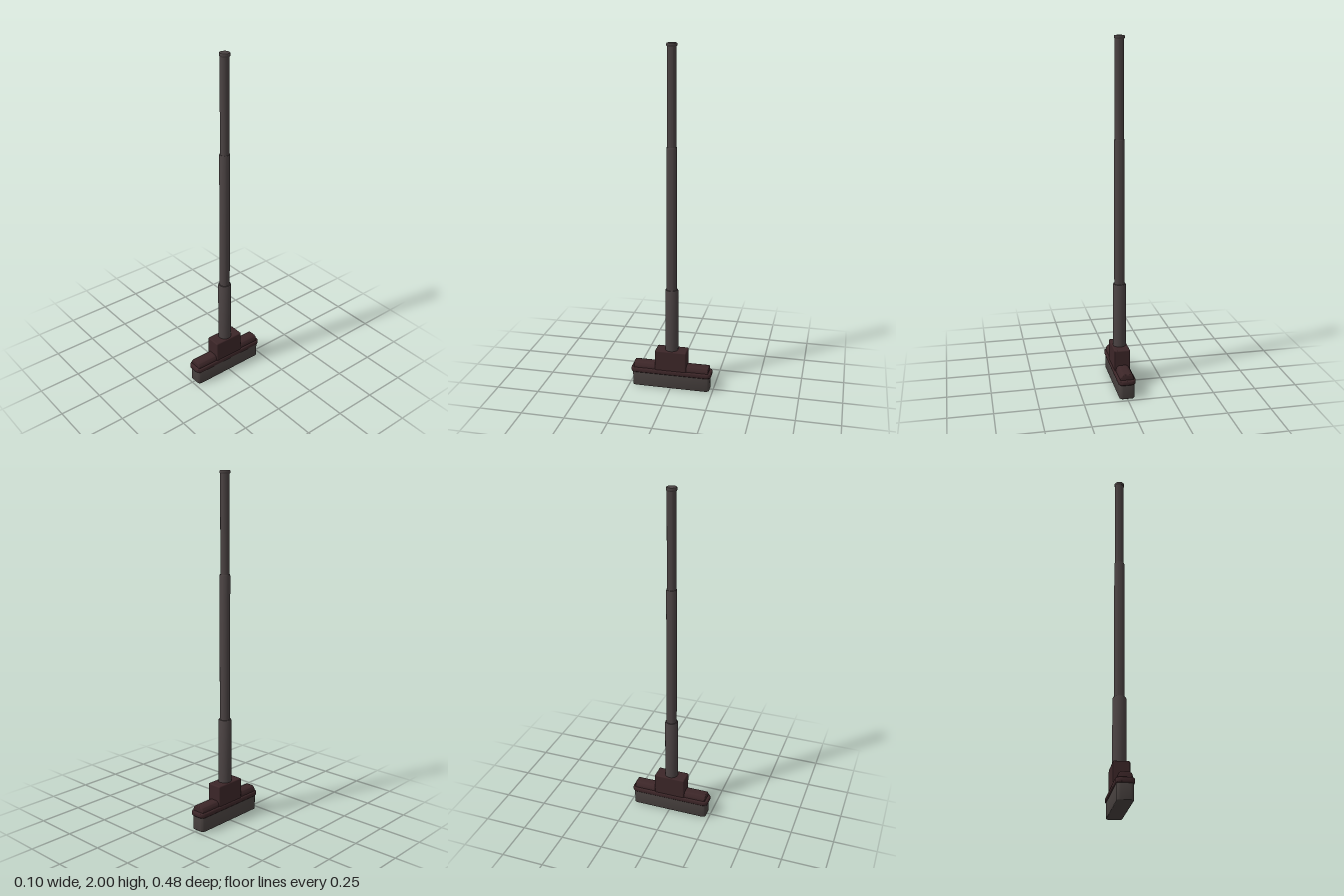
import * as THREE from 'three';
import { toCreasedNormals } from 'three/addons/utils/BufferGeometryUtils.js';
import { RoundedBoxGeometry } from 'three/addons/geometries/RoundedBoxGeometry.js';

const mat = (name, color) => Object.assign(new THREE.MeshStandardMaterial({ color }), { name });

// Rectangle with cut, slightly rounded corners, extruded upwards from y0 to y1
function slab(halfX, halfZ, corner, y0, y1, bevel) {
  const x = halfX - bevel, z = halfZ - bevel, c = corner;
  const s = new THREE.Shape();
  s.moveTo(x - c, -z);
  s.quadraticCurveTo(x - c * 0.2, -z, x, -z + c);
  s.lineTo(x, z - c);
  s.quadraticCurveTo(x - c * 0.2, z, x - c, z);
  s.lineTo(-x + c, z);
  s.quadraticCurveTo(-x + c * 0.2, z, -x, z - c);
  s.lineTo(-x, -z + c);
  s.quadraticCurveTo(-x + c * 0.2, -z, -x + c, -z);
  const g = new THREE.ExtrudeGeometry(s, {
    depth: y1 - y0 - 2 * bevel, curveSegments: 4, bevelEnabled: bevel > 0,
    bevelSize: bevel, bevelThickness: bevel, bevelSegments: 3,
  });
  g.rotateX(-Math.PI / 2).translate(0, y0 + bevel, 0);
  return toCreasedNormals(g, 0.6);
}

// Domed bar running along z
function ridge(halfX, halfZ, y0, y1, bevel) {
  const w = halfX - bevel, h = y1 - y0 - bevel;
  const s = new THREE.Shape();
  s.moveTo(-w, 0);
  s.lineTo(w, 0);
  s.lineTo(w, h * 0.35);
  s.bezierCurveTo(w * 0.95, h * 0.8, w * 0.75, h, w * 0.4, h);
  s.lineTo(-w * 0.4, h);
  s.bezierCurveTo(-w * 0.75, h, -w * 0.95, h * 0.8, -w, h * 0.35);
  s.closePath();
  const len = 2 * (halfZ - bevel);
  const g = new THREE.ExtrudeGeometry(s, {
    depth: len, curveSegments: 6, bevelSize: bevel, bevelThickness: bevel, bevelSegments: 3,
  });
  g.translate(0, y0, -len / 2);
  return toCreasedNormals(g, 0.6);
}

// Solid of revolution from [radius, height] pairs
function turned(points) {
  const g = new THREE.LatheGeometry(points.map(([r, y]) => new THREE.Vector2(r, y)), 20);
  return toCreasedNormals(g, 0.6);
}

export function createModel() {
  const group = new THREE.Group();
  const pole = mat('dark grey', 0x4a4242);
  const plastic = mat('dark brown', 0x3c2628);
  const pad = mat('pad grey', 0x48413f);
  const add = (name, geometry, material) => {
    const m = new THREE.Mesh(geometry, material);
    m.name = name;
    group.add(m);
    return m;
  };

  // Cleaning pad and its holder
  add('pad', slab(0.044, 0.23, 0.016, 0, 0.095, 0.004), pad);
  add('holderRim', slab(0.05, 0.24, 0.02, 0.085, 0.114, 0.008), plastic);
  add('holderRidge', ridge(0.04, 0.224, 0.1, 0.145, 0.006), plastic);
  const block = add('socketBlock', new RoundedBoxGeometry(0.09, 0.147, 0.186, 3, 0.007), plastic);
  block.position.y = 0.1615;

  // Telescopic handle
  add('gripSleeve', turned([[0, 0.22], [0.038, 0.22], [0.038, 0.604], [0.035, 0.611], [0, 0.611]]), pole);
  add('lowerPole', turned([[0, 0.6], [0.0295, 0.6], [0.0295, 1.437], [0.028, 1.442], [0, 1.442]]), pole);
  add('upperPole', turned([[0, 1.43], [0.0255, 1.43], [0.0255, 1.99], [0, 1.99]]), pole);
  add('endCap', turned([[0, 1.982], [0.027, 1.982], [0.0295, 1.986], [0.0295, 1.996], [0.027, 2], [0, 2]]), pole);

  return group;
}
